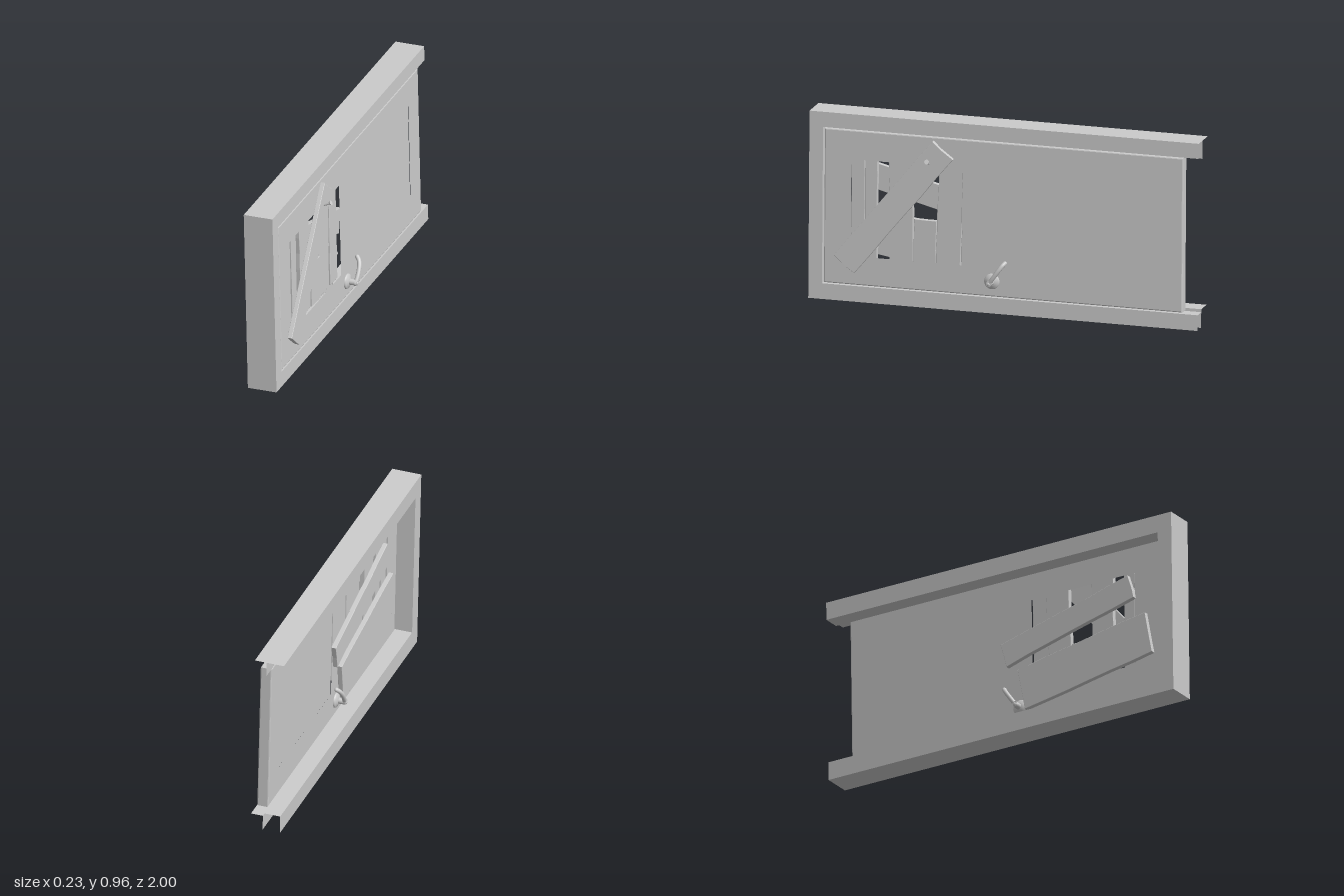
import * as THREE from 'three';

const mat = new THREE.MeshStandardMaterial({ color: 0xcccccc });

// small seeded generator for worn edges
let seed = 7;
const jitter = (a) => {
  seed = (seed * 16807) % 2147483647;
  return (seed / 2147483647 - 0.5) * 2 * a;
};

function add(parent, name, geometry) {
  const mesh = new THREE.Mesh(geometry, mat);
  mesh.name = name;
  parent.add(mesh);
  return mesh;
}

const rect = (z0, z1, y0, y1) => [[z0, y0], [z1, y0], [z1, y1], [z0, y1]];

// outline given as [z, y], extruded along x from x0 to x1
function slab(points, x0, x1, holes = [], bevel = 0) {
  const toV = (p) => p.map(([z, y]) => new THREE.Vector2(-z, y));
  const shape = new THREE.Shape(toV(points));
  shape.holes = holes.map((h) => new THREE.Path(toV(h)));
  const geo = new THREE.ExtrudeGeometry(shape, {
    depth: x1 - x0 - 2 * bevel, bevelEnabled: bevel > 0, bevelThickness: bevel,
    bevelSize: bevel, bevelOffset: -bevel, bevelSegments: 2,
  });
  return geo.translate(0, 0, x0 + bevel).rotateY(Math.PI / 2);
}

// remove the faces lying in the plane z = -1, leaving the rails open there
function openEnd(geo) {
  const p = geo.attributes.position;
  const keep = [];
  for (let i = 0; i < p.count; i += 3) {
    if ([0, 1, 2].some((k) => p.getZ(i + k) > -0.999)) keep.push(i, i + 1, i + 2);
  }
  geo.setIndex(keep);
  geo.clearGroups();
  return geo;
}

// worn board between two [z, y] points, with ragged edges and slim cracks
function board(a, b, width, x0, x1, cracks = 2, skew = 0) {
  const A = new THREE.Vector2(...a), B = new THREE.Vector2(...b);
  const d = B.clone().sub(A), len = d.length();
  d.normalize();
  const at = (t, s) => [A.x + d.x * t - d.y * s, A.y + d.y * t + d.x * s];
  const n = 6, pts = [];
  for (const side of [-1, 1]) {
    for (let i = 0; i <= n; i++) {
      const t = side < 0 ? i / n : 1 - i / n;
      pts.push(at(t * len, side * width / 2 + jitter(0.003)));
    }
    // end edge is cut slightly out of square
    pts.push(at((side < 0 ? len : 0) + jitter(0.004), jitter(width * 0.25)));
  }
  const holes = [];
  for (let i = 0; i < cracks; i++) {
    const t = len * ((i + 0.5) / cracks + jitter(0.06));
    const s = ((i % 2) - 0.5) * width * 0.4 + jitter(width * 0.06);
    const h = Math.min(0.07, len * 0.3 / cracks);
    holes.push([at(t - h, s), at(t, s - 0.0025), at(t + h, s + 0.002), at(t, s + 0.0015)]);
  }
  const geo = slab(pts, x0, x1, holes, 0.002);
  const p = geo.attributes.position;
  for (let i = 0; i < p.count; i++) p.setX(i, p.getX(i) + skew * (p.getZ(i) - a[0]));
  geo.computeVertexNormals();
  return geo;
}

// lever handle standing out along +x from the door face at x = 0
function lever() {
  const g = new THREE.Group();
  const profile = [[0, 0.018], [0.017, 0.018], [0.024, 0.012], [0.035, 0.01], [0.039, 0.004], [0.039, 0]]
    .reverse().map(([r, y]) => new THREE.Vector2(r, y));
  add(g, 'rosette', new THREE.LatheGeometry(profile, 32).rotateZ(-Math.PI / 2));
  add(g, 'handleStem', new THREE.CylinderGeometry(0.014, 0.016, 0.045, 20).rotateZ(-Math.PI / 2).translate(0.034, 0, 0));
  const path = new THREE.CatmullRomCurve3([
    [0.046, -0.002, 0.002], [0.05, 0.03, -0.02], [0.048, 0.07, -0.048], [0.04, 0.092, -0.064], [0.028, 0.104, -0.074],
  ].map((p) => new THREE.Vector3(...p)));
  const tube = new THREE.TubeGeometry(path, 24, 0.011, 14);
  add(g, 'handleLever', tube);
  add(g, 'leverRoot', new THREE.SphereGeometry(0.0145, 16, 12).translate(0.046, -0.002, 0.002));
  add(g, 'leverTip', new THREE.SphereGeometry(0.011, 14, 10).translate(0.028, 0.104, -0.074));
  return g;
}

export function createModel() {
  const root = new THREE.Group();
  root.name = 'boardedDoor';
  const body = new THREE.Group();
  body.name = 'doorAssembly';
  body.position.set(-0.019, 0.0017, 0);
  body.rotation.z = 0.023;
  root.add(body);

  // U-shaped frame with a deeper stop on the back half, open at the far end
  const frame = (lip) => [
    [1, 0], [-1, 0], [-1, 0.08 + lip], [0.93 - lip * 0.6, 0.08 + lip],
    [0.93 - lip * 0.6, 0.876 - lip], [-1, 0.876 - lip], [-1, 0.953], [1, 0.953],
  ];
  add(body, 'frameFront', openEnd(slab(frame(0), 0.014, 0.076)));
  add(body, 'frameStop', openEnd(slab(frame(0.015), -0.076, 0.014)));

  // door leaf with a window opening and a recessed panel
  const windowHole = rect(0.125, 0.79, 0.225, 0.73);
  const panelHole = rect(-0.79, -0.01, 0.23, 0.73);
  add(body, 'doorLeaf', slab(rect(-0.92, 0.922, 0.085, 0.871), 0.015, 0.074, [windowHole, panelHole], 0.006));
  add(body, 'doorPanel', slab(rect(-0.8, 0, 0.22, 0.74), 0.024, 0.065));

  // upright planks filling the window: [bottom z, top z, bottom y, top y, width]
  [
    [0.755, 0.757, 0.215, 0.74, 0.068],
    [0.687, 0.688, 0.215, 0.74, 0.064],
    [0.532, 0.536, 0.215, 0.74, 0.122],
    [0.412, 0.408, 0.215, 0.44, 0.115],
    [0.292, 0.274, 0.215, 0.74, 0.128],
    [0.178, 0.174, 0.215, 0.74, 0.09],
  ].forEach(([z0, z1, y0, y1, w], i) => {
    add(body, 'uprightPlank' + (i + 1), board([z0, y0], [z1, y1], w, 0.024 + (i % 2) * 0.005, 0.05 + (i % 2) * 0.005));
  });

  // slanted boards nailed over the back
  add(body, 'backBoardUpper', board([-0.02, 0.45], [0.72, 0.645], 0.125, -0.012, 0.013, 3));
  add(body, 'backBoardLower', board([0.08, 0.245], [0.82, 0.375], 0.225, -0.012, 0.013, 4));

  // loose diagonal board across the front
  add(body, 'frontBoard', board([0.81, 0.195], [0.31, 0.812], 0.135, 0.082, 0.106, 4, 0.024));

  // half-driven nail
  const nail = new THREE.Group();
  nail.name = 'nail';
  add(nail, 'nailShaft', new THREE.CylinderGeometry(0.005, 0.005, 0.056, 10).translate(0, 0.02, 0));
  add(nail, 'nailHead', new THREE.CylinderGeometry(0.012, 0.01, 0.008, 14).translate(0, 0.048, 0));
  nail.position.set(0.087, 0.736, 0.38);
  nail.rotation.z = -Math.PI / 2 + 0.45;
  body.add(nail);

  // handles on both faces
  for (const side of [1, -1]) {
    const handle = lever();
    handle.name = side > 0 ? 'outerHandle' : 'innerHandle';
    handle.position.set(side > 0 ? 0.074 : 0.015, 0.163, 0.058);
    handle.scale.x = side;
    body.add(handle);
  }
  return root;
}
